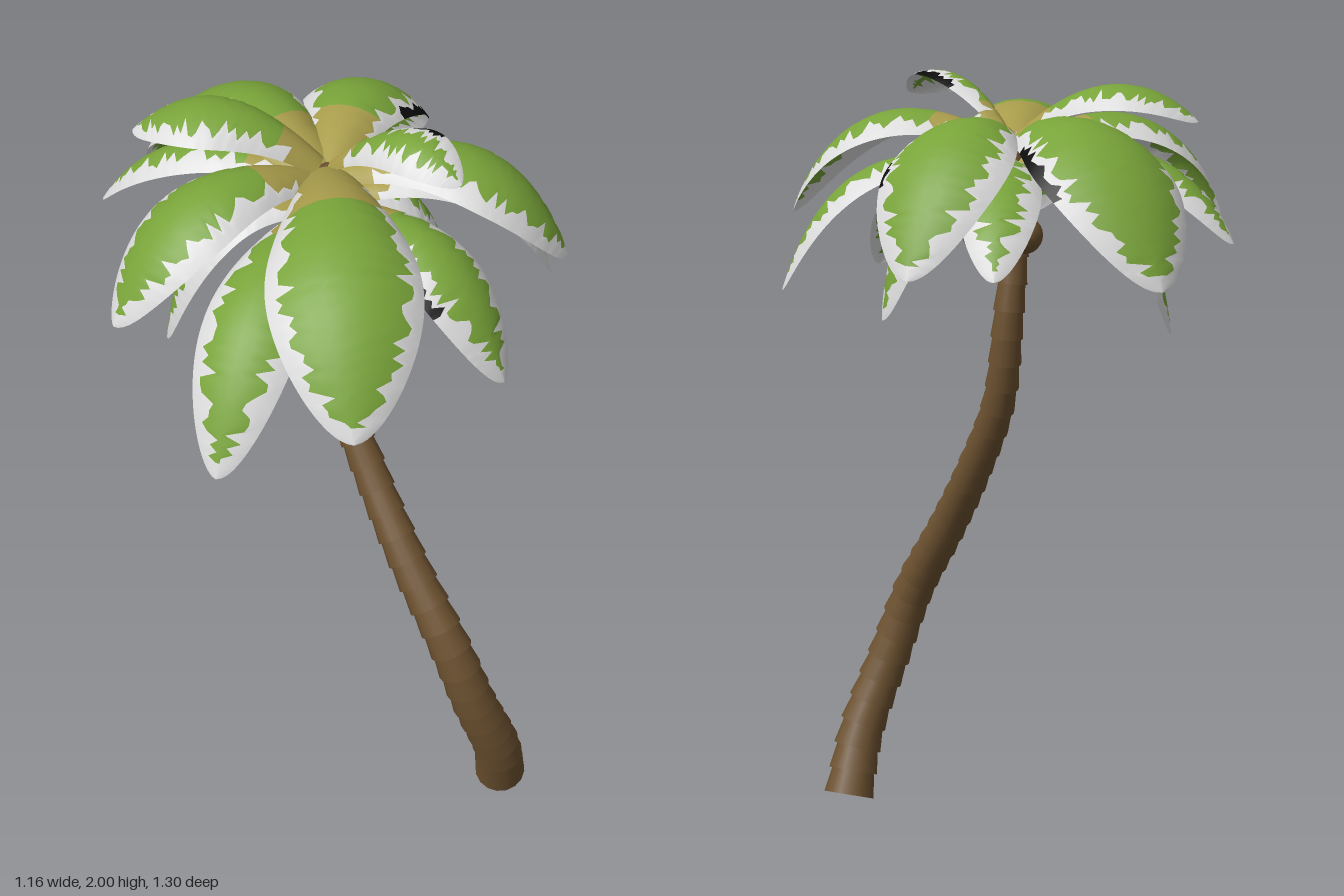
import * as THREE from 'three';

const mat = (name, color, side = THREE.FrontSide) => {
  const m = new THREE.MeshStandardMaterial({ color, side });
  m.name = name;
  return m;
};
const V = (x, y, z) => new THREE.Vector3(x, y, z);
const UP = V(0, 1, 0);

// tip position, half width, base height, control height, control reach, olive length, roll, side with a dark rim
const FRONDS = [
  { tip: [-0.50, 1.56, -0.49], w: 0.18, base: 1.85, lift: 2.08, reach: 0.70, olive: 0.19, dark: -1 },
  { tip: [0.05, 1.58, -0.65], w: 0.155, base: 1.85, lift: 2.07, reach: 0.70, olive: 0.23, dark: -1 },
  { tip: [-0.465, 1.90, -0.05], w: 0.12, base: 1.86, lift: 2.09, reach: 0.55, olive: 0.2 },
  { tip: [-0.42, 1.62, 0.36], w: 0.13, base: 1.83, lift: 2.05, reach: 0.70, olive: 0.25 },
  { tip: [-0.13, 1.41, 0.61], w: 0.12, base: 1.75, lift: 1.93, reach: 0.74, olive: 0.25 },
  { tip: [0.19, 1.58, 0.65], w: 0.175, base: 1.85, lift: 2.08, reach: 0.70, olive: 0.28 },
  { tip: [0.34, 1.94, 0.13], w: 0.075, base: 1.86, lift: 2.09, reach: 0.55, olive: 0.2, roll: 0.35, dark: 1 },
  { tip: [0.58, 1.65, -0.08], w: 0.135, base: 1.84, lift: 2.06, reach: 0.69, olive: 0.26 },
  { tip: [0.53, 1.48, -0.27], w: 0.095, base: 1.76, lift: 1.94, reach: 0.74, olive: 0.25 },
  { tip: [0.47, 1.48, 0.22], w: 0.11, base: 1.75, lift: 1.90, reach: 0.74, olive: 0.25, dark: -1 },
  { tip: [0.26, 1.42, -0.28], w: 0.10, base: 1.74, lift: 1.84, reach: 0.85, olive: 0.25 },
  { tip: [-0.585, 1.63, -0.17], w: 0.085, base: 1.80, lift: 1.95, reach: 0.67, olive: 0.25 },
  { tip: [-0.14, 1.58, -0.60], w: 0.095, base: 1.77, lift: 1.93, reach: 0.67, olive: 0.25 },
  { tip: [-0.385, 1.37, 0.03], w: 0.10, base: 1.74, lift: 1.86, reach: 0.85, olive: 0.25 },
];

// An arched, cupped leaf; columns follow the jagged border so each colour is its own set of faces
function frondGeometry(f, seed) {
  const ROWS = 46, COLS = 10;
  const along = (s) => 1 - Math.pow(1 - s, 1.5);
  const centre = V(0, f.base, -0.06), tip = V(...f.tip);
  const dir = tip.clone().sub(centre).setY(0).normalize();
  const start = centre.clone().addScaledVector(dir, 0.01);
  const ctrl = start.clone().lerp(tip, f.reach).setY(f.lift);
  const curve = new THREE.QuadraticBezierCurve3(start, ctrl, tip);
  const side = V(0, 0, 0).crossVectors(UP, dir).applyAxisAngle(dir, f.roll || 0);
  const pos = [], faces = [[], [], [], []];
  for (let i = 0; i <= ROWS; i++) {
    const u = along(i / ROWS);
    const p = curve.getPoint(u), t = curve.getTangent(u);
    const n = V(0, 0, 0).crossVectors(t, side).normalize();
    const w = f.w * Math.pow(Math.max(Math.sin(Math.PI * (0.06 + 0.94 * Math.pow(u, 1.5))), 0), 0.56);
    // the cupping flattens toward the tip
    const arc = 1.02 - 0.5 * u * u;
    // inner limit of the pale border, different on each side
    const limit = (s) => {
      const wave = Math.abs(Math.sin(i * 1.7 + seed * 2.3 + s) * Math.sin(i * 0.63 + s * 2 + seed));
      const width = (0.024 + 0.05 * wave) * Math.min(1, 0.35 + u * 1.6);
      return Math.min(Math.max(1 - width / Math.max(w, 0.001), 0.1), 0.93);
    };
    const a = limit(-1), b = limit(1);
    const vs = [-1, -(1 + a) / 2, -a, -a * 0.66, -a * 0.33, 0, b * 0.33, b * 0.66, b, (1 + b) / 2, 1];
    for (const v of vs) {
      const q = p.clone()
        .addScaledVector(side, w * Math.sin(v * arc) / Math.sin(arc))
        .addScaledVector(n, -w * (1 - Math.cos(v * arc)) / Math.sin(arc));
      pos.push(q.x, q.y, q.z);
    }
  }
  for (let i = 0; i < ROWS; i++) {
    for (let j = 0; j < COLS; j++) {
      const u = along((i + 0.5) / ROWS);
      const border = (j < 2 || j > 7) && u > 0.12;
      let m = u < f.olive ? 2 : 0;
      if (border || u > 0.965) m = 1;
      const rim = f.dark === 1 ? j === COLS - 1 : f.dark === -1 && j === 0;
      if (rim && u > 0.35 && u < 0.72) m = 3;
      const k = i * (COLS + 1) + j, l = k + COLS + 1;
      faces[m].push(k, l, k + 1, k + 1, l, l + 1);
    }
  }
  const geo = new THREE.BufferGeometry();
  geo.setAttribute('position', new THREE.Float32BufferAttribute(pos, 3));
  geo.setIndex(faces.flat());
  let offset = 0;
  faces.forEach((list, m) => {
    if (list.length) geo.addGroup(offset, list.length, m);
    offset += list.length;
  });
  geo.computeVertexNormals();
  return geo;
}

export function createModel() {
  const model = new THREE.Group();
  model.name = 'palmTree';
  const bark = mat('barkBrown', 0x6c5130);
  const leafMats = [
    mat('leafGreen', 0x78a339, THREE.DoubleSide),
    mat('borderPale', 0xdcdcdc, THREE.DoubleSide),
    mat('baseOlive', 0xa89c4b, THREE.DoubleSide),
    mat('rimBlack', 0x0c0c0c, THREE.DoubleSide),
  ];

  // Trunk: rings flared at the bottom, stacked along an S-shaped path
  const path = new THREE.CatmullRomCurve3([
    V(0.51, 0.033, 0.037), V(0.50, 0.2, 0.11), V(0.44, 0.4, 0.17), V(0.365, 0.6, 0.175),
    V(0.24, 0.8, 0.095), V(0.12, 1.0, -0.01), V(0.025, 1.2, -0.09), V(-0.01, 1.4, -0.125),
    V(-0.02, 1.6, -0.105), V(0, 1.83, -0.065),
  ]);
  const trunk = new THREE.Group();
  trunk.name = 'trunk';
  const RINGS = 30;
  for (let i = 0; i < RINGS; i++) {
    const a = path.getPointAt(i / RINGS), b = path.getPointAt((i + 1) / RINGS);
    const axis = b.clone().sub(a);
    const r = THREE.MathUtils.lerp(0.064, 0.031, Math.pow(i / RINGS, 0.9));
    const ring = new THREE.Mesh(
      new THREE.CylinderGeometry(r * 0.9, r * 1.07, axis.length() * 1.06, 16), bark);
    ring.position.copy(a).lerp(b, 0.5);
    ring.quaternion.setFromUnitVectors(UP, axis.normalize());
    ring.name = 'trunkRing';
    trunk.add(ring);
  }
  model.add(trunk);

  // Coconuts clustered under the crown
  const nuts = new THREE.Group();
  nuts.name = 'coconuts';
  const nutGeo = new THREE.SphereGeometry(0.046, 16, 12);
  for (let i = 0; i < 5; i++) {
    const ang = -2.4 + i * 0.75;
    const nut = new THREE.Mesh(nutGeo, bark);
    nut.position.set(0.08 * Math.cos(ang), 1.625 + 0.04 * (i % 2), -0.09 + 0.08 * Math.sin(ang));
    nut.name = 'coconut';
    nuts.add(nut);
  }
  model.add(nuts);

  // Crown of fronds
  const crown = new THREE.Group();
  crown.name = 'crown';
  FRONDS.forEach((f, i) => {
    const frond = new THREE.Mesh(frondGeometry(f, i + 1), leafMats);
    frond.name = 'frond';
    crown.add(frond);
  });
  model.add(crown);
  return model;
}
